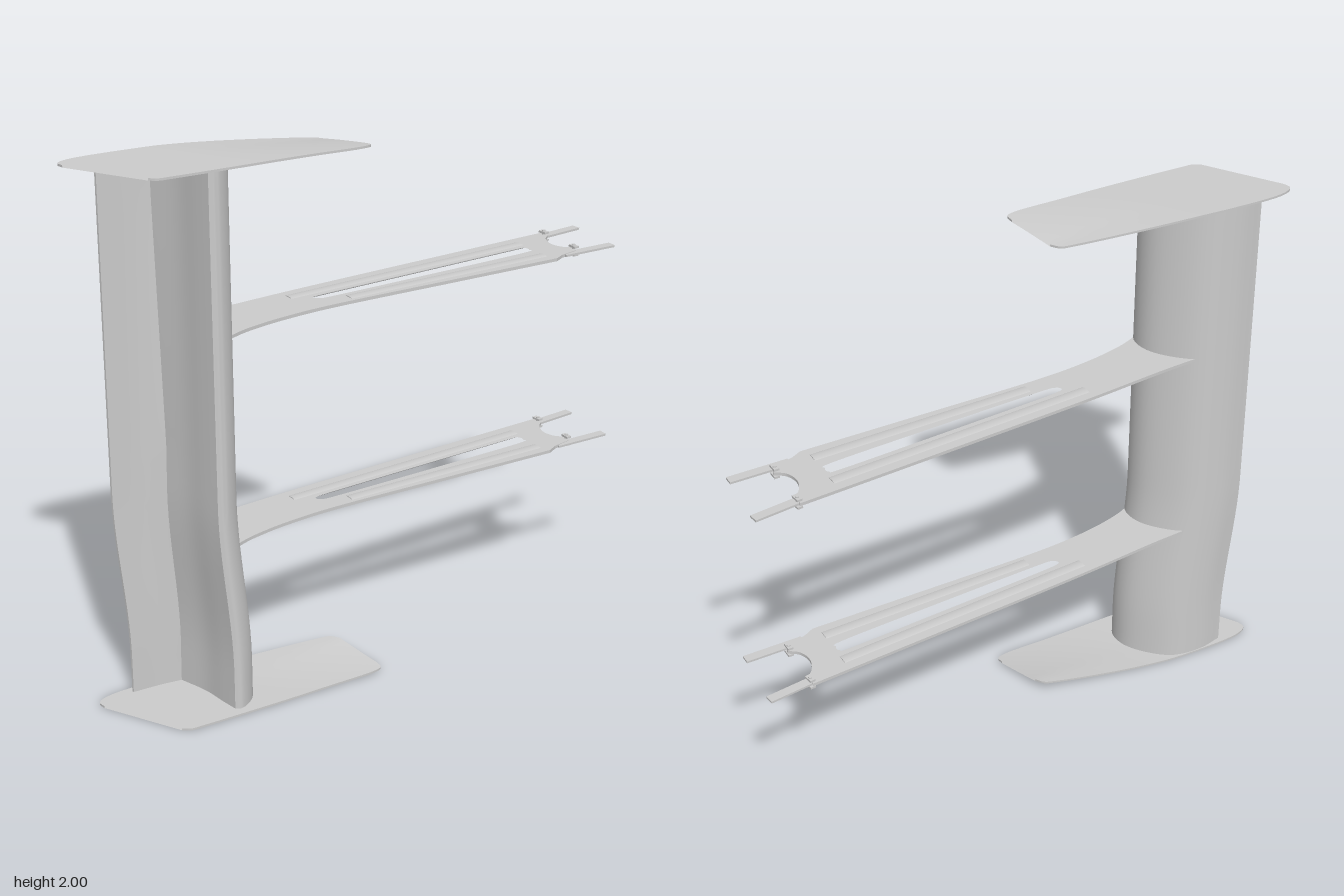
import * as THREE from 'three';
import { toCreasedNormals } from 'three/addons/utils/BufferGeometryUtils.js';

const mat = new THREE.MeshStandardMaterial({ color: 0xcccccc });
const matDouble = new THREE.MeshStandardMaterial({ color: 0xcccccc, side: THREE.DoubleSide });
const smooth = THREE.MathUtils.smoothstep;
const clamp = THREE.MathUtils.clamp;

function add(parent, name, geometry, material = mat) {
  const mesh = new THREE.Mesh(geometry, material);
  mesh.name = name;
  parent.add(mesh);
  return mesh;
}

// Skin a list of closed rings of [x, y, z] points
function loft(rings, crease = 0.6) {
  const n = rings[0].length, index = [];
  for (let r = 0; r < rings.length - 1; r++) {
    for (let i = 0; i < n; i++) {
      const a = r * n + i, b = r * n + (i + 1) % n;
      index.push(a, a + n, b, b, a + n, b + n);
    }
  }
  const g = new THREE.BufferGeometry();
  g.setAttribute('position', new THREE.Float32BufferAttribute(rings.flat(2), 3));
  g.setIndex(index);
  return toCreasedNormals(g, crease);
}

// Smooth curve through [x, z] points, kept in the ground plane
const planCurve = (pts) =>
  new THREE.CatmullRomCurve3(pts.map(([x, z]) => new THREE.Vector3(x, 0, z)), false, 'centripetal');

// Sideways offset of the lower end of the wing
const shift = (y) => 1 - smooth(y, 0.15, 0.8);

// Wing section: convex back, rounded leading edge, creased hollow front
function wingRing(y) {
  const crease = -0.478 + 0.022 * (1 - Math.min(1, Math.abs(y - 0.95) / 0.9));
  const back = planCurve([[-0.6, 0.82], [-0.56, 0.725], [-0.48, 0.635], [-0.38, 0.602],
    [-0.27, 0.605], [-0.2, 0.65], [-0.18, 0.71], [-0.186, 0.76], [-0.205, 0.772]]).getPoints(32);
  const front = planCurve([[-0.205, 0.772], [-0.27, 0.745], [-0.36, 0.705], [crease, 0.675]]).getPoints(12);
  const flap = planCurve([[crease, 0.675], [-0.525, 0.73], [-0.592, 0.823]]).getPoints(8);
  const s = shift(y) * 0.03;
  return [...back, ...front.slice(1), ...flap.slice(1)].map((p) => [p.x + s, y, p.z - s]);
}

// End plate with its rear inner corner curled toward the wing
function endPlate(y0, curl, offset) {
  const left = planCurve([[-0.635, 0.95], [-0.663, 0.935], [-0.66, 0.885], [-0.54, 0.69],
    [-0.38, 0.49], [-0.14, 0.24], [-0.1, 0.208], [-0.06, 0.205]]);
  const right = planCurve([[-0.31, 0.965], [-0.28, 0.953], [-0.255, 0.92], [-0.12, 0.72],
    [0.03, 0.49], [0.14, 0.32], [0.146, 0.29], [0.12, 0.272]]);
  const rings = [], rows = 56, cols = 12, h = 0.004;
  for (let r = 0; r <= rows; r++) {
    const a = left.getPoint(r / rows), b = right.getPoint(r / rows);
    const side = (c, dy) => {
      const p = a.clone().lerp(b, c / cols);
      const inner = clamp((0.15 - p.x) * 0.84 + (0.3 - p.z) * 0.545, 0, 0.23) / 0.23;
      const bend = Math.pow(clamp((0.62 - p.z) / 0.42, 0, 1), 1.4) * (0.2 + 0.8 * inner);
      return [p.x + offset, y0 + curl * bend + dy, p.z - offset];
    };
    const ring = [];
    for (let c = 0; c <= cols; c++) ring.push(side(c, -h));
    for (let c = cols; c >= 0; c--) ring.push(side(c, h));
    rings.push(ring);
  }
  return loft(rings);
}

// Flat plate of given thickness, centred on y = 0, from a shape drawn in (x, -z)
function plate(shape, depth) {
  const g = new THREE.ExtrudeGeometry(shape, { depth, bevelEnabled: false, curveSegments: 16 });
  g.translate(0, 0, -depth / 2);
  g.rotateX(-Math.PI / 2);
  return g;
}

const flat = (pts) => pts.map(([x, z]) => new THREE.Vector2(x, -z));

function createStrut(y) {
  const strut = new THREE.Group();
  strut.name = 'strut';
  strut.position.y = y;

  // Slotted arm, flared where it meets the wing
  const body = new THREE.Shape();
  body.moveTo(-0.47, -0.645);
  body.splineThru(flat([[-0.38, 0.49], [-0.2, 0.155], [0.08, -0.34], [0.325, -0.77], [0.355, -0.82]]));
  body.lineTo(0.39, 0.8);
  body.splineThru(flat([[0.4, -0.755], [0.435, -0.71], [0.485, -0.692], [0.53, -0.705]]));
  body.lineTo(0.55, 0.675);
  body.lineTo(0.522, 0.6);
  body.lineTo(0.518, 0.555);
  body.splineThru(flat([[0.26, -0.165], [0.0, 0.23], [-0.11, 0.43], [-0.17, 0.58], [-0.19, 0.67]]));
  body.lineTo(-0.3, -0.64);
  body.closePath();
  const slot = new THREE.Path();
  slot.setFromPoints(new THREE.SplineCurve(flat([[-0.112, 0.215], [-0.085, 0.15], [0.12, -0.21],
    [0.33, -0.575], [0.365, -0.617], [0.388, -0.605], [0.382, -0.56], [0.17, -0.2],
    [-0.04, 0.15], [-0.085, 0.212], [-0.112, 0.215]])).getPoints(60).slice(0, -1));
  body.holes.push(slot);
  add(strut, 'strutArm', plate(body, 0.012));

  // Raised ribs along both sides of the slot
  const ribs = [[[-0.19, 0.25], [0.33, -0.66]], [[0.0, 0.16], [0.46, -0.57]]];
  for (const [[x0, z0], [x1, z1]] of ribs) {
    const rib = new THREE.CylinderGeometry(0.03, 0.03, 1, 12);
    const mesh = add(strut, 'strutRib', rib);
    mesh.geometry.rotateX(Math.PI / 2);
    mesh.scale.set(1, 0.3, Math.hypot(x1 - x0, z1 - z0));
    mesh.position.set((x0 + x1) / 2, 0, (z0 + z1) / 2);
    mesh.rotation.y = Math.atan2(x1 - x0, z1 - z0);
  }

  // Mounting tongues with their clamps and bolts
  const tongues = [[[0.35, -0.76], [0.45, -0.96], [0.372, -0.81]],
    [[0.52, -0.62], [0.645, -0.81], [0.535, -0.69]]];
  for (const [[x0, z0], [x1, z1], [bx, bz]] of tongues) {
    const angle = Math.atan2(x1 - x0, z1 - z0);
    const tongue = add(strut, 'mountingTongue',
      new THREE.BoxGeometry(0.036, 0.008, Math.hypot(x1 - x0, z1 - z0)));
    tongue.position.set((x0 + x1) / 2, 0, (z0 + z1) / 2);
    tongue.rotation.y = angle;
    for (const s of [-1, 1]) {
      const clampPlate = add(strut, 'clampPlate', new THREE.BoxGeometry(0.036, 0.008, 0.02));
      clampPlate.position.set(bx, s * 0.015, bz);
      clampPlate.rotation.y = angle;
    }
    add(strut, 'bolt', new THREE.CylinderGeometry(0.007, 0.007, 0.046, 12)).position.set(bx, 0, bz);
  }
  return strut;
}

export function createModel() {
  const model = new THREE.Group();
  model.name = 'wingAssembly';

  // Main wing
  const rings = [];
  for (let i = 0; i <= 36; i++) rings.push(wingRing(0.006 + (1.988 * i) / 36));
  add(model, 'wing', loft(rings), matDouble);

  // End plates
  add(model, 'upperEndPlate', endPlate(1.996, -0.03, 0), matDouble);
  add(model, 'lowerEndPlate', endPlate(0.004, 0.035, 0.028), matDouble);

  // Supporting struts
  for (const y of [0.615, 1.39]) model.add(createStrut(y));
  return model;
}
